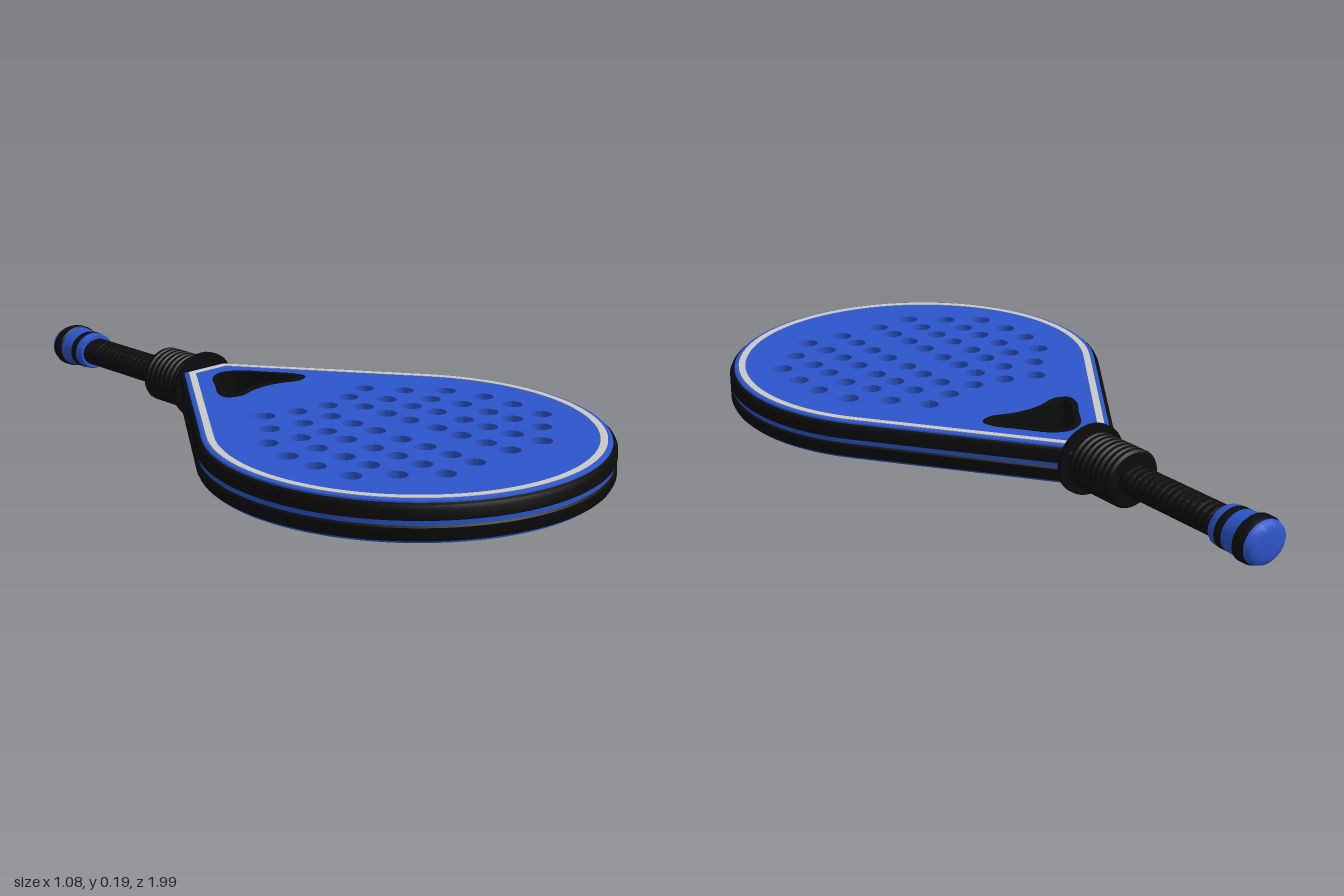
import * as THREE from 'three';
import { toCreasedNormals } from 'three/addons/utils/BufferGeometryUtils.js';

const blue = new THREE.MeshStandardMaterial({ name: 'blue', color: 0x2c56cc });
const black = new THREE.MeshStandardMaterial({ name: 'black', color: 0x0c0c0c });
const grey = new THREE.MeshStandardMaterial({ name: 'light grey', color: 0xcbc9c4 });

const MID = 0.098;   // height of the middle plane
const HALF = 0.054;  // half thickness of the head

// Teardrop outline inset by d, counter-clockwise; shape y is -z
function outline(d) {
  const t = THREE.MathUtils.degToRad(36), r = 0.54 - d, cy = -0.45, end = 0.36 - d;
  const neck = (r - (end - cy) * Math.sin(t)) / Math.cos(t);
  const pts = [new THREE.Vector2(neck, end), new THREE.Vector2(-neck, end)];
  const n = 72;
  for (let i = 0; i <= n; i++) {
    const a = Math.PI - t + (Math.PI + 2 * t) * i / n;
    pts.push(new THREE.Vector2(r * Math.cos(a), cy + r * Math.sin(a)));
  }
  return pts;
}

// Smooth closed loop mirrored in x, from [x, z] points running from the apex to the base
function mirroredLoop(half) {
  const left = half.slice(1, -1).reverse().map(([x, z]) => [-x, z]);
  const pts = [...half, ...left].map(([x, z]) => new THREE.Vector3(x, -z, 0));
  return new THREE.CatmullRomCurve3(pts, true).getPoints(64).slice(0, -1)
    .map(p => new THREE.Vector2(p.x, p.y));
}

function mesh(name, geometry, material) {
  const m = new THREE.Mesh(toCreasedNormals(geometry, 0.6), material);
  m.name = name;
  return m;
}

// Flat plate between heights y0 and y1
function plate(name, points, holes, y0, y1, material) {
  const shape = new THREE.Shape(points);
  shape.holes = holes;
  const g = new THREE.ExtrudeGeometry(shape, { depth: y1 - y0, bevelEnabled: false, curveSegments: 20 });
  g.rotateX(-Math.PI / 2).translate(0, y0, 0);
  return mesh(name, g, material);
}

// Band around the head; profile is [inset, height above middle] from top to bottom
function rimBand(name, profile, material) {
  const rings = profile.map(([d, h]) => outline(d).map(p => [p.x, MID + h, -p.y]));
  const pos = [];
  for (let k = 0; k < rings.length - 1; k++) {
    const up = rings[k], low = rings[k + 1];
    for (let i = 0; i < up.length; i++) {
      const j = (i + 1) % up.length;
      pos.push(...up[i], ...low[i], ...low[j], ...up[i], ...low[j], ...up[j]);
    }
  }
  const g = new THREE.BufferGeometry();
  g.setAttribute('position', new THREE.Float32BufferAttribute(pos, 3));
  g.computeVertexNormals();
  return mesh(name, g, material);
}

// Turned part along the handle; profile is [radius, z] with z falling
function turned(name, profile, widen, material) {
  const g = new THREE.LatheGeometry(profile.map(([r, z]) => new THREE.Vector2(r, -z)), 40);
  g.rotateX(-Math.PI / 2).scale(widen, 1, 1).translate(0, MID, 0);
  return mesh(name, g, material);
}

// Ribbed profile with n ridges between z0 and z1
function ribs(z0, z1, n, rOut, rIn) {
  const pts = [[0.001, z0]], step = (z1 - z0) / n;
  for (let i = 0; i < n; i++) {
    const z = z0 + i * step;
    pts.push([rIn, z], [rOut, z + step * 0.25], [rOut, z + step * 0.75]);
  }
  pts.push([rIn, z1], [0.001, z1]);
  return pts;
}

export function createModel() {
  const model = new THREE.Group();
  model.name = 'racket';

  // Drilled holes: [z, mirrored x positions]
  const rows = [
    [0.118, [0.187]], [0.147, [0.097]], [0.164, [0]], [0.207, [0.253]],
    [0.232, [0.157]], [0.238, [0.062]], [0.29, [0.335]], [0.314, [0.245]],
    [0.322, [0.16, 0.064]], [0.397, [0.368]], [0.403, [0.273, 0.17, 0.064]],
    [0.497, [0.37, 0.27, 0.17, 0.067]], [0.58, [0.27, 0.17, 0.067]], [0.606, [0.358]],
    [0.664, [0.172, 0.067]], [0.676, [0.272]], [0.742, [0.067]], [0.75, [0.182]],
  ];
  const holes = [];
  for (const [z, xs] of rows) {
    for (const x of xs) {
      for (const s of x ? [1, -1] : [1]) {
        holes.push(new THREE.Path().absarc(s * x, -z, 0.028, 0, Math.PI * 2, true));
      }
    }
  }

  // Throat opening with its liner
  const throatOuter = mirroredLoop([[0, -0.268], [-0.05, -0.247], [-0.1, -0.18], [-0.143, -0.118],
    [-0.149, -0.078], [-0.112, -0.06], [-0.05, -0.078], [0, -0.084]]);
  const throatInner = mirroredLoop([[0, -0.253], [-0.036, -0.238], [-0.08, -0.18], [-0.119, -0.122],
    [-0.124, -0.093], [-0.1, -0.083], [-0.05, -0.099], [0, -0.106]]);

  // Head
  holes.push(new THREE.Path(throatOuter));
  model.add(plate('hittingFace', outline(0.02), holes, MID - HALF, MID + HALF, blue));
  model.add(plate('throatLiner', throatOuter, [new THREE.Path(throatInner)],
    MID - HALF - 0.002, MID + HALF + 0.002, black));

  // Rim: coloured shoulders, two bumper bands and a middle stripe
  model.add(rimBand('rimStripe', [[0.005, 0.008], [0.005, -0.008]], blue));
  for (const s of [1, -1]) {
    const side = s > 0 ? 'upper' : 'lower';
    const flip = p => s > 0 ? p : p.map(([d, h]) => [d, -h]).reverse();
    model.add(rimBand(side + 'Shoulder', flip([[0.02, HALF], [0.014, 0.052], [0.012, 0.044]]), blue));
    model.add(rimBand(side + 'Bumper',
      flip([[0.014, 0.048], [0.005, 0.044], [0, 0.034], [0, 0.01], [0.005, 0.006]]), black));
    const y = MID + s * (HALF + 0.0005);
    model.add(plate(side + 'BorderLine', outline(0.026), [new THREE.Path(outline(0.045))],
      y - 0.001, y + 0.001, grey));
  }

  // Collar and grip
  model.add(turned('collarFlange', [[0.001, -0.342], [0.097, -0.342], [0.097, -0.356], [0.001, -0.356]], 1.1, black));
  model.add(turned('collar', ribs(-0.356, -0.518, 8, 0.079, 0.072), 1.08, black));
  model.add(turned('gripWrap', ribs(-0.515, -0.86, 16, 0.04, 0.037), 1.3, black));

  // Butt cap in alternating rings
  const cap = [
    [[[0.001, -0.852], [0.05, -0.852], [0.053, -0.858], [0.054, -0.876]], blue],
    [[[0.054, -0.876], [0.055, -0.878], [0.055, -0.897], [0.054, -0.9]], black],
    [[[0.054, -0.9], [0.056, -0.92], [0.058, -0.943]], blue],
    [[[0.058, -0.943], [0.062, -0.947], [0.062, -0.968], [0.058, -0.98]], black],
    [[[0.058, -0.98], [0.054, -0.991], [0.046, -0.998], [0.03, -1], [0, -1]], blue],
  ];
  cap.forEach(([profile, material], i) => model.add(turned('buttCapRing' + (i + 1), profile, 1.18, material)));

  return model;
}
